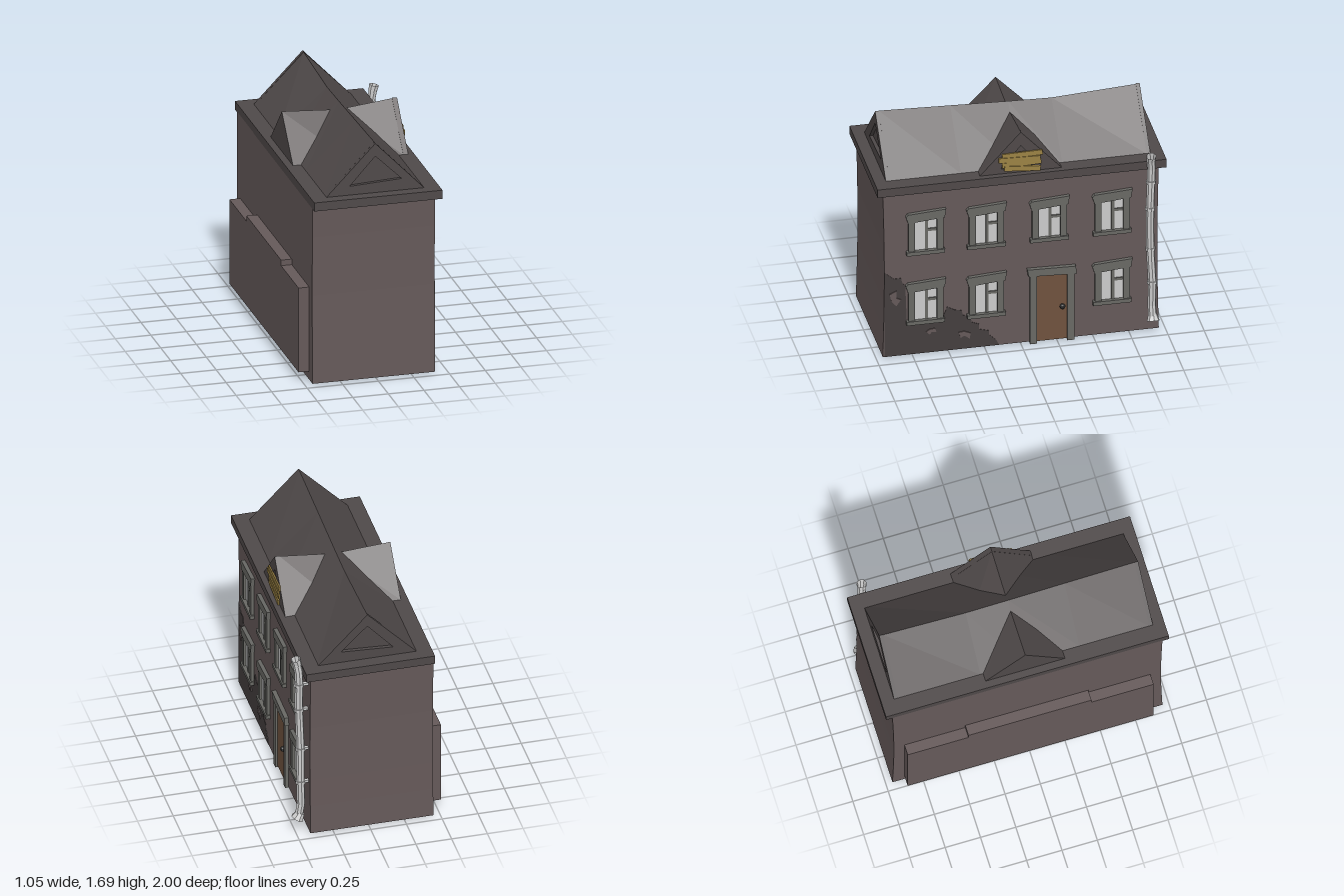
import * as THREE from 'three';

const paint = (color) => new THREE.MeshStandardMaterial({ color, flatShading: true });
const wallMat = paint(0x655959), roofMat = paint(0x4f4949), trimMat = paint(0x686864);
const glassMat = paint(0xcccccc), doorMat = paint(0x6f523e), boardMat = paint(0x9b8244);
const patchMat = paint(0x443e3e), knobMat = paint(0x333333);
const pipeMat = paint(0xcccccc);
pipeMat.side = THREE.DoubleSide;

function add(parent, name, geo, mat, x = 0, y = 0, z = 0) {
  const m = new THREE.Mesh(geo, mat);
  m.name = name;
  m.position.set(x, y, z);
  parent.add(m);
  return m;
}

// box given by its limits
function block(parent, name, mat, x0, x1, y0, y1, z0, z1) {
  return add(parent, name, new THREE.BoxGeometry(x1 - x0, y1 - y0, z1 - z0), mat,
    (x0 + x1) / 2, (y0 + y1) / 2, (z0 + z1) / 2);
}

const shapeOf = (pts) => new THREE.Shape(pts.map(([x, y]) => new THREE.Vector2(x, y)));

// flat outline with thickness along z
function slab(pts, depth, hole) {
  const shape = shapeOf(pts);
  if (hole) shape.holes.push(new THREE.Path(hole.map(([x, y]) => new THREE.Vector2(x, y))));
  return new THREE.ExtrudeGeometry(shape, { depth, bevelEnabled: false });
}

// triangular prism whose ridge follows [z, height] stations, ordered by rising z
function ridgeRoof(half, base, stations) {
  const pos = [], idx = [];
  for (const [z, top] of stations) pos.push(-half, base, z, half, base, z, 0, top, z);
  for (let s = 0; s < stations.length - 1; s++) {
    for (let k = 0; k < 3; k++) {
      const a = s * 3 + k, b = s * 3 + (k + 1) % 3;
      idx.push(a, b, b + 3, a, b + 3, a + 3);
    }
  }
  const e = (stations.length - 1) * 3;
  idx.push(0, 2, 1, e, e + 1, e + 2);
  const g = new THREE.BufferGeometry();
  g.setAttribute('position', new THREE.Float32BufferAttribute(pos, 3));
  g.setIndex(idx);
  const flat = g.toNonIndexed();
  flat.computeVertexNormals();
  return flat;
}

// local x runs along the wall, local z points out of it
function addWindow(facade, u, y) {
  const w = new THREE.Group();
  w.name = 'window';
  w.position.set(u, y, 0);
  block(w, 'glass', glassMat, -0.08, 0.08, 0.02, 0.28, -0.01, 0.004);
  for (const s of [-1, 1]) {
    add(w, 'jamb', new THREE.BoxGeometry(0.045, 0.25, 0.03), trimMat, s * 0.098, 0.15, 0.007);
  }
  block(w, 'mullion', trimMat, -0.005, 0.015, 0.02, 0.28, 0, 0.012);
  block(w, 'transom', trimMat, 0.01, 0.08, 0.17, 0.19, 0, 0.012);
  block(w, 'sill', trimMat, -0.135, 0.13, 0, 0.028, -0.01, 0.032);
  add(w, 'lintel', slab([[-0.14, 0.3], [-0.125, 0.25], [0.128, 0.272], [0.138, 0.335], [-0.125, 0.318]], 0.035),
    trimMat, 0, 0, -0.008);
  facade.add(w);
}

export function createModel() {
  const house = new THREE.Group();
  house.name = 'house';

  // walls, pinched slightly at mid height
  const body = new THREE.BoxGeometry(0.86, 1.27, 1.91, 1, 6, 1);
  const p = body.attributes.position;
  for (let i = 0; i < p.count; i++) {
    const t = p.getY(i) / 1.27 + 0.5;
    p.setZ(i, p.getZ(i) * (1 - 0.011 * Math.sin(Math.PI * t)));
  }
  body.computeVertexNormals();
  add(house, 'walls', body, wallMat, -0.02, 0.645, 0);
  block(house, 'eaves', roofMat, -0.45, 0.45, 1.275, 1.337, -1, 1);

  // stepped panel on the back wall
  block(house, 'backPanelMiddle', wallMat, -0.525, -0.44, 0.07, 0.72, -0.44, 0.43);
  block(house, 'backPanelEnd', wallMat, -0.525, -0.44, 0.07, 0.68, 0.43, 0.87);
  block(house, 'backPanelEnd', wallMat, -0.525, -0.44, 0.07, 0.68, -0.87, -0.44);

  // sagging main roof with a recessed triangle in each gable
  add(house, 'mainRoof', ridgeRoof(0.345, 1.335,
    [[-0.885, 1.687], [-0.3, 1.652], [0, 1.66], [0.4, 1.675], [0.895, 1.693]]), roofMat);
  const gable = slab([[-0.345, 1.335], [0.345, 1.335], [0, 1.692]], 0.026,
    [[-0.18, 1.4], [0, 1.6], [0.185, 1.42]]);
  add(house, 'frontGable', gable, roofMat, 0, 0, 0.894);
  add(house, 'backGable', gable, roofMat, 0, 0, -0.911);

  // cross gables over both long sides
  const cross = new THREE.Group();
  cross.name = 'crossGables';
  cross.rotation.y = Math.PI / 2;
  add(cross, 'crossRoof', ridgeRoof(0.283, 1.335, [[-0.4, 1.626], [0, 1.6], [0.375, 1.642]]), roofMat);
  add(cross, 'crossGableFrame', slab([[-0.285, 1.335], [0.285, 1.335], [0, 1.645]], 0.035,
    [[-0.14, 1.375], [0, 1.54], [0.14, 1.375]]), roofMat, 0, 0, 0.374);
  // planks nailed over the opening
  const planks = [[0.01, 1.475, 0.28, 0.02], [-0.01, 1.44, 0.29, -0.03], [0.005, 1.405, 0.27, 0.03], [0.01, 1.368, 0.25, -0.09]];
  planks.forEach(([u, y, len, tilt], i) => {
    add(cross, 'plank', new THREE.BoxGeometry(len, 0.037, 0.012), boardMat, u, y, 0.412 + (i % 2) * 0.004)
      .rotation.z = tilt;
  });
  house.add(cross);

  // entrance wall
  const facade = new THREE.Group();
  facade.name = 'entranceWall';
  facade.rotation.y = Math.PI / 2;
  facade.position.x = 0.41;
  const columns = [-0.66, -0.24, 0.195, 0.63];
  columns.forEach((u, i) => {
    addWindow(facade, u, 0.79);
    if (i !== 2) addWindow(facade, u, 0.25);
  });

  // door
  block(facade, 'door', doorMat, 0.105, 0.32, 0.01, 0.515, -0.01, 0.006);
  block(facade, 'doorJamb', trimMat, 0.06, 0.108, 0, 0.53, -0.01, 0.022);
  block(facade, 'doorJamb', trimMat, 0.318, 0.366, 0, 0.53, -0.01, 0.022);
  add(facade, 'doorLintel', slab([[0.048, 0.53], [0.38, 0.515], [0.376, 0.575], [0.04, 0.583]], 0.04),
    trimMat, 0, 0, -0.01);
  add(facade, 'doorKnob', new THREE.SphereGeometry(0.02, 8, 6), knobMat, 0.285, 0.265, 0.016);

  // fallen plaster and exposed bricks
  add(facade, 'damagedPatch', slab([[-0.945, 0.011], [-0.15, 0.011], [-0.17, 0.05], [-0.22, 0.1],
    [-0.22, 0.13], [-0.29, 0.15], [-0.29, 0.19], [-0.34, 0.21], [-0.35, 0.26], [-0.4, 0.27], [-0.41, 0.31],
    [-0.46, 0.32], [-0.51, 0.35], [-0.54, 0.27], [-0.79, 0.27], [-0.8, 0.55], [-0.82, 0.57],
    [-0.83, 0.61], [-0.88, 0.61], [-0.945, 0.665]], 0.008), patchMat, 0, 0, -0.005);
  const chip = slab([[-0.045, 0.01], [-0.02, -0.025], [0.0, -0.005], [0.04, -0.02], [0.035, 0.02], [-0.01, 0.025]], 0.012);
  for (const [u, y, turn, size] of [[-0.87, 0.46, 1.9, 1.3], [-0.62, 0.175, 0.2, 0.8], [-0.39, 0.12, -0.3, 1.05]]) {
    const c = add(facade, 'brickChip', chip, wallMat, u, y, -0.002);
    c.rotation.z = turn;
    c.scale.set(size, size, 1);
  }
  house.add(facade);

  // crooked drainpipe with collars and wall brackets
  const pipe = new THREE.Group();
  pipe.name = 'drainpipe';
  const path = new THREE.CatmullRomCurve3([
    [0.492, 1.385, -0.885], [0.476, 1.29, -0.89], [0.472, 1, -0.882], [0.462, 0.66, -0.885],
    [0.465, 0.4, -0.897], [0.462, 0.2, -0.895], [0.475, 0.14, -0.897]].map((v) => new THREE.Vector3(...v)));
  add(pipe, 'pipe', new THREE.TubeGeometry(path, 14, 0.029, 8), pipeMat);
  for (const [y, x, z] of [[1.19, 0.474, -0.887], [0.985, 0.472, -0.882], [0.665, 0.462, -0.885], [0.405, 0.465, -0.897]]) {
    add(pipe, 'collar', new THREE.CylinderGeometry(0.035, 0.035, 0.022, 8), pipeMat, x, y, z);
    block(pipe, 'bracket', pipeMat, 0.4, x, y - 0.009, y + 0.009, z - 0.012, z + 0.012);
  }
  add(pipe, 'inlet', new THREE.CylinderGeometry(0.035, 0.03, 0.05, 8, 1, true), pipeMat, 0.489, 1.375, -0.885)
    .rotation.z = -0.25;
  add(pipe, 'spout', new THREE.CylinderGeometry(0.03, 0.045, 0.05, 8), pipeMat, 0.476, 0.133, -0.9)
    .rotation.z = 0.5;
  house.add(pipe);

  return house;
}
